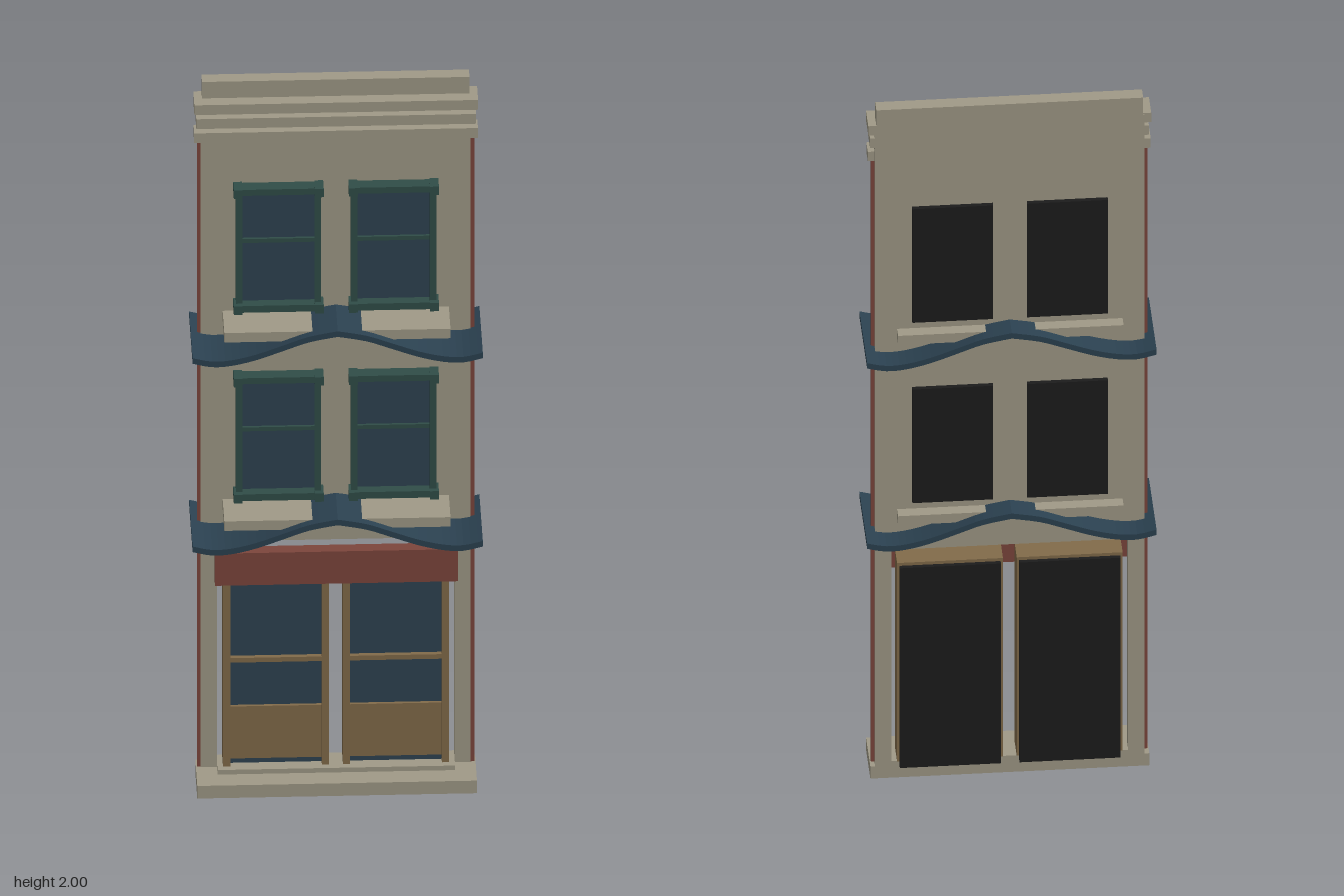
import * as THREE from 'three';

const mat = (name, color) => {
  const m = new THREE.MeshStandardMaterial({ color });
  m.name = name;
  return m;
};

export function createModel() {
  const stone = mat('stone', 0xa09a87);
  const brick = mat('brick red', 0x7c463c);
  const wood = mat('door wood', 0x826b4a);
  const green = mat('trim green', 0x304d48);
  const glass = mat('glass blue', 0x2e4351);
  const slate = mat('awning blue', 0x2b4150);
  const black = mat('backing black', 0x1c1c1c);

  const model = new THREE.Group();
  model.name = 'townhouseFacade';

  // Box given by its low and high limits on each axis
  const box = (parent, name, material, [x0, x1], [y0, y1], [z0, z1]) => {
    const mesh = new THREE.Mesh(new THREE.BoxGeometry(x1 - x0, y1 - y0, z1 - z0), material);
    mesh.position.set((x0 + x1) / 2, (y0 + y1) / 2, (z0 + z1) / 2);
    mesh.name = name;
    parent.add(mesh);
  };
  const extrude = (parent, name, material, shape, z0, z1) => {
    const geo = new THREE.ExtrudeGeometry(shape, { depth: z1 - z0, bevelEnabled: false });
    const mesh = new THREE.Mesh(geo, material);
    mesh.position.z = z0;
    mesh.name = name;
    parent.add(mesh);
  };
  const group = (name, x = 0, y = 0) => {
    const g = new THREE.Group();
    g.name = name;
    g.position.set(x, y, 0);
    model.add(g);
    return g;
  };

  // Wall slab with the shopfront opening cut from below
  const wall = new THREE.Shape([
    [-0.333, 0.035], [-0.293, 0.035], [-0.293, 0.682], [0.293, 0.682],
    [0.293, 0.035], [0.333, 0.035], [0.333, 1.95], [-0.333, 1.95],
  ].map(([x, y]) => new THREE.Vector2(x, y)));
  extrude(model, 'wall', stone, wall, -0.054, -0.018);

  // Parapet and three cornice bands
  box(model, 'parapet', stone, [-0.33, 0.33], [1.95, 2], [-0.054, -0.018]);
  [[0.35, 1.925, 1.953, -0.053, 0.015], [0.345, 1.882, 1.91, -0.045, 0.01],
    [0.35, 1.838, 1.866, -0.038, 0.004]].forEach(([w, y0, y1, z0, z1]) =>
    box(model, 'corniceBand', stone, [-w, w], [y0, y1], [z0, z1]));

  // Thin brick strips along both edges
  for (const s of [-1, 1]) {
    const x = s * 0.337;
    box(model, 'brickEdge', brick, [x - 0.005, x + 0.005], [0.035, 1.84], [-0.032, -0.021]);
  }

  // Front step and threshold
  box(model, 'frontStep', stone, [-0.345, 0.345], [0, 0.036], [-0.054, 0.073]);
  box(model, 'threshold', stone, [-0.293, 0.293], [0.036, 0.049], [-0.054, 0.02]);

  // Plain sign board over the doors
  box(model, 'signBoard', brick, [-0.3, 0.3], [0.588, 0.68], [0.005, 0.038]);

  // Pair of doors
  for (const s of [-1, 1]) {
    const door = group('door', s * 0.148);
    for (const t of [-1, 1]) {
      const x = t * 0.122;
      box(door, 'doorStile', wood, [x - 0.009, x + 0.009], [0.049, 0.64], [-0.056, 0.003]);
    }
    box(door, 'doorHead', wood, [-0.131, 0.131], [0.615, 0.643], [-0.056, 0.01]);
    box(door, 'doorRail', wood, [-0.113, 0.113], [0.343, 0.356], [-0.025, -0.002]);
    box(door, 'doorPanel', wood, [-0.113, 0.113], [0.066, 0.215], [-0.04, -0.006]);
    box(door, 'doorGlass', glass, [-0.113, 0.113], [0.049, 0.615], [-0.045, -0.014]);
    box(door, 'doorBacking', black, [-0.125, 0.125], [0.037, 0.635], [-0.068, -0.057]);
  }

  // One window, with its origin at the bottom centre
  const addWindow = (x, y) => {
    const w = group('window', x, y);
    for (const t of [-1, 1]) {
      const jx = t * 0.097;
      box(w, 'windowJamb', green, [jx - 0.008, jx + 0.008], [0, 0.352], [-0.018, 0.01]);
      box(w, 'windowHeadBlock', green, [t * 0.1 - 0.011, t * 0.1 + 0.011], [0.333, 0.357], [-0.018, 0.024]);
      box(w, 'windowFootBlock', green, [t * 0.1 - 0.011, t * 0.1 + 0.011], [0, 0.024], [-0.018, 0.024]);
    }
    box(w, 'windowHead', green, [-0.1, 0.1], [0.337, 0.354], [-0.018, 0.017]);
    box(w, 'windowFoot', green, [-0.1, 0.1], [0.002, 0.021], [-0.018, 0.017]);
    box(w, 'windowMeeting', green, [-0.09, 0.09], [0.19, 0.201], [-0.018, -0.003]);
    box(w, 'windowGlass', glass, [-0.09, 0.09], [0.02, 0.338], [-0.018, -0.01]);
    box(w, 'windowBacking', black, [-0.1, 0.1], [0.012, 0.352], [-0.066, -0.053]);
  };

  // Wavy awning, peaked in the middle and curling up at the ends
  const half = new THREE.SplineCurve([
    [0, 0.355], [0.07, 0.341], [0.13, 0.319], [0.2, 0.293],
    [0.26, 0.278], [0.31, 0.275], [0.358, 0.286],
  ].map(([x, y]) => new THREE.Vector2(x, y))).getPoints(18);
  const top = [...half.slice(1).reverse().map((p) => new THREE.Vector2(-p.x, p.y)), ...half];
  const under = top.map((p) => new THREE.Vector2(p.x, p.y - 0.016)).reverse();
  const awning = new THREE.Shape([...top, ...under]);

  // Two upper floors: windows, sills and awning
  for (const y of [0.46, 1]) {
    const floor = group('upperFloor', 0, y);
    extrude(floor, 'awning', slate, awning, -0.114, 0.112);
    for (const s of [-1, 1]) {
      const x = s * 0.16;
      box(floor, 'windowSill', stone, [x - 0.119, x + 0.119], [0.316, 0.343], [-0.085, 0.09]);
      addWindow(s * 0.142, y + 0.355);
    }
  }
  return model;
}
